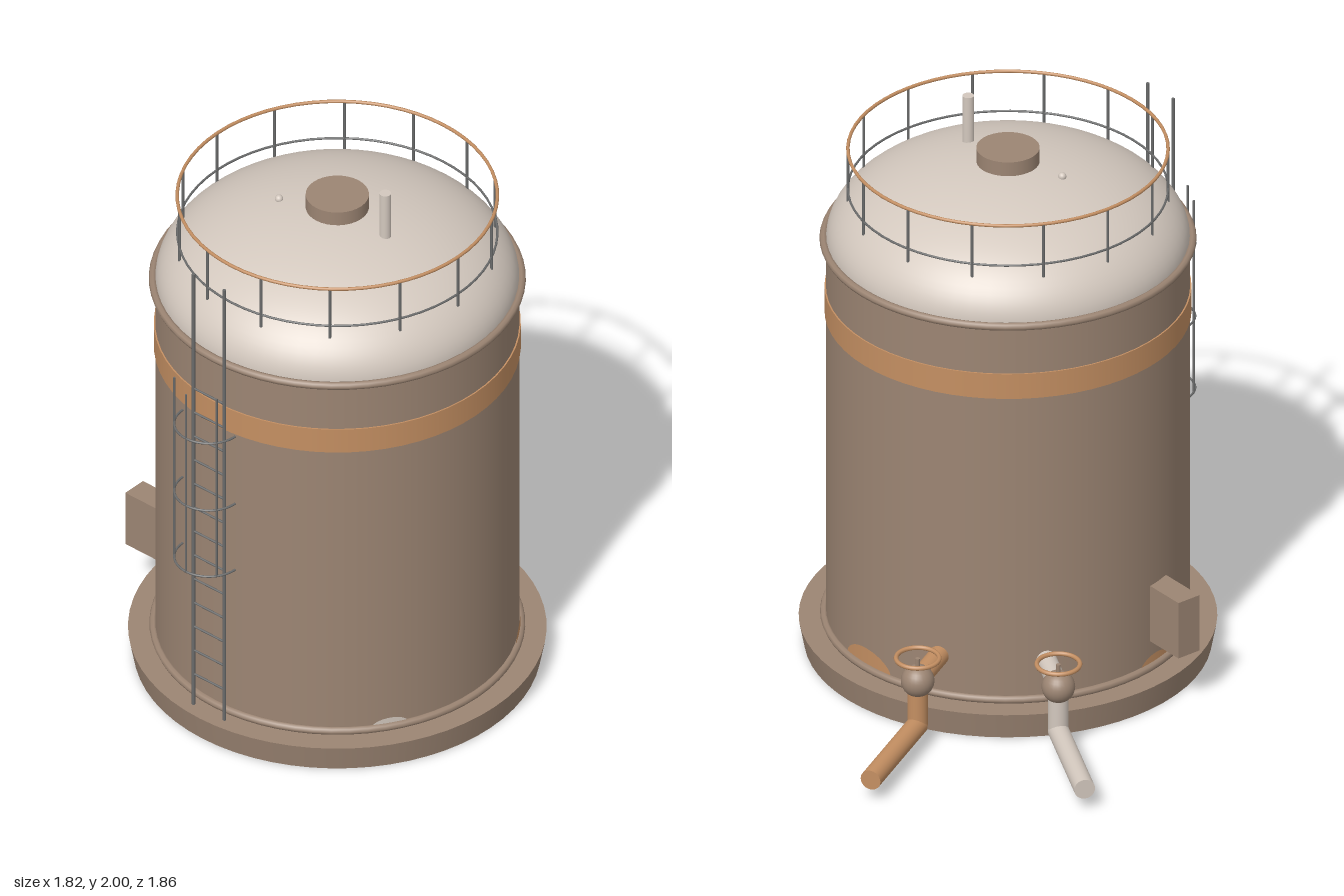
import * as THREE from 'three';

const mat = (name, color, side = THREE.FrontSide) => {
  const m = new THREE.MeshStandardMaterial({ color, side });
  m.name = name;
  return m;
};

export function createModel() {
  const wall = mat('wallBrown', 0x9c8573);
  const pale = mat('palePaint', 0xd3c8be);
  const copper = mat('copperOrange', 0xc48f62);
  const steel = mat('darkSteel', 0x6b6c6c);

  const model = new THREE.Group();
  model.name = 'storageTank';
  // Everything is laid out around the tank axis
  const tank = new THREE.Group();
  tank.name = 'tank';
  tank.position.set(0.203, 0, 0.155);
  model.add(tank);

  const add = (name, geo, material, x = 0, y = 0, z = 0, parent = tank) => {
    const m = new THREE.Mesh(geo, material);
    m.name = name;
    m.position.set(x, y, z);
    parent.add(m);
    return m;
  };
  // Round bar between two points
  const bar = (name, a, b, r, material, parent = tank, sides = 8) => {
    const p = new THREE.Vector3(...a), q = new THREE.Vector3(...b);
    const d = q.clone().sub(p);
    const m = add(name, new THREE.CylinderGeometry(r, r, d.length(), sides), material, 0, 0, 0, parent);
    m.position.copy(p).add(q).multiplyScalar(0.5);
    m.quaternion.setFromUnitVectors(new THREE.Vector3(0, 1, 0), d.normalize());
    return m;
  };
  // Horizontal ring
  const ring = (name, R, r, y, material, x = 0, z = 0, parent = tank, arc = Math.PI * 2) => {
    const g = new THREE.TorusGeometry(R, r, 8, 64, arc).rotateX(Math.PI / 2);
    return add(name, g, material, x, y, z, parent);
  };

  // Foundation, shell and dome
  const R = 0.614, domeY = 1.545, domeH = 0.3;
  add('foundation', new THREE.CylinderGeometry(0.706, 0.688, 0.095, 64), wall, 0, 0.0475, 0);
  add('shell', new THREE.CylinderGeometry(R, R, 1.46, 64), wall, 0, 0.82, 0);
  add('paintedBand', new THREE.CylinderGeometry(R + 0.005, R + 0.005, 0.095, 64), copper, 0, 1.3125, 0);
  ring('bottomFlange', 0.62, 0.014, 0.108, wall);
  ring('topFlange', 0.622, 0.014, domeY, wall);
  const dome = new THREE.SphereGeometry(R, 64, 24, 0, Math.PI * 2, 0, Math.PI / 2).scale(1, domeH / R, 1);
  add('dome', dome, pale, 0, domeY, 0);

  // Roof fittings
  add('hatch', new THREE.CylinderGeometry(0.107, 0.107, 0.07, 32), wall, 0, 1.858, 0);
  add('ventPipe', new THREE.CylinderGeometry(0.02, 0.02, 0.2, 20), pale, 0.215, 1.9, 0);
  add('roofKnob', new THREE.SphereGeometry(0.014, 16, 12), pale, -0.186, 1.832, 0.086);

  // Guard rail
  const railR = 0.54;
  ring('topRail', railR, 0.006, 1.888, copper);
  ring('midRail', railR, 0.004, 1.735, steel);
  for (let i = 0; i < 14; i++) {
    const a = (i / 14) * Math.PI * 2, x = railR * Math.cos(a), z = railR * Math.sin(a);
    bar('railPost', [x, 1.685, z], [x, 1.888, z], 0.005, steel);
  }

  // Ladder with safety cage
  const ladder = new THREE.Group();
  ladder.name = 'ladder';
  ladder.position.z = 0.657;
  tank.add(ladder);
  for (const s of [-1, 1]) bar('ladderRail', [s * 0.069, 0.095, 0], [s * 0.069, 1.885, 0], 0.006, steel, ladder);
  for (let i = 0; i < 13; i++) {
    const y = 0.222 + i * 0.099;
    bar('rung', [-0.069, y, 0], [0.069, y, 0], 0.004, steel, ladder);
  }
  const cageR = 0.117;
  for (const y of [0.743, 1.018, 1.297]) ring('cageHoop', cageR, 0.004, y, steel, 0, 0, ladder, Math.PI);
  for (const t of [0.2, 0.5, 0.8]) {
    const x = cageR * Math.cos(t * Math.PI), z = cageR * Math.sin(t * Math.PI);
    bar('cageBar', [x, 0.743, z], [x, 1.48, z], 0.004, steel, ladder);
  }

  // Control box on the side
  add('controlBox', new THREE.BoxGeometry(0.19, 0.213, 0.09), wall, -0.656, 0.308, 0.182);

  // Outlet pipes, each with a valve and hand wheel, pointing along local -x
  const outlet = (name, degrees, material) => {
    const g = new THREE.Group();
    g.name = name;
    g.rotation.y = -THREE.MathUtils.degToRad(degrees);
    tank.add(g);
    const r = 0.035, d = -0.803;
    bar('stubPipe', [-0.58, 0.25, 0], [d, 0.25, 0], r, material, g, 24);
    bar('dropPipe', [d, 0.08, 0], [d, 0.25, 0], r, material, g, 24);
    bar('runPipe', [d, 0.08, 0], [-1.222, 0.08, 0], r + 0.001, material, g, 24);
    add('valveBody', new THREE.SphereGeometry(0.057, 24, 16), wall, d, 0.25, 0, g);
    bar('valveStem', [d, 0.29, 0], [d, 0.335, 0], 0.008, wall, g);
    ring('handWheel', 0.073, 0.008, 0.336, copper, d, 0, g);
  };
  outlet('paleOutlet', 26.3, pale);
  outlet('copperOutlet', 60.8, copper);

  // Rounded stains hugging the foot of the shell
  const stain = (degrees, halfWidth, height, material) => {
    const half = halfWidth / R, a = THREE.MathUtils.degToRad(degrees);
    const geo = new THREE.CylinderGeometry(R + 0.004, R + 0.004, 1, 24, 1, true, a - half, half * 2);
    const p = geo.attributes.position, uv = geo.attributes.uv;
    for (let i = 0; i < p.count; i++) {
      const t = uv.getX(i) * 2 - 1;
      p.setY(i, p.getY(i) > 0 ? height * Math.sqrt(Math.max(0, 1 - t * t)) : 0);
    }
    add('stain', geo, material, 0, 0.1, 0);
  };
  stain(127.6, 0.11, 0.062, copper);
  stain(181, 0.12, 0.08, copper);
  stain(-75, 0.08, 0.05, copper);
  stain(58, 0.07, 0.042, pale);

  return model;
}
